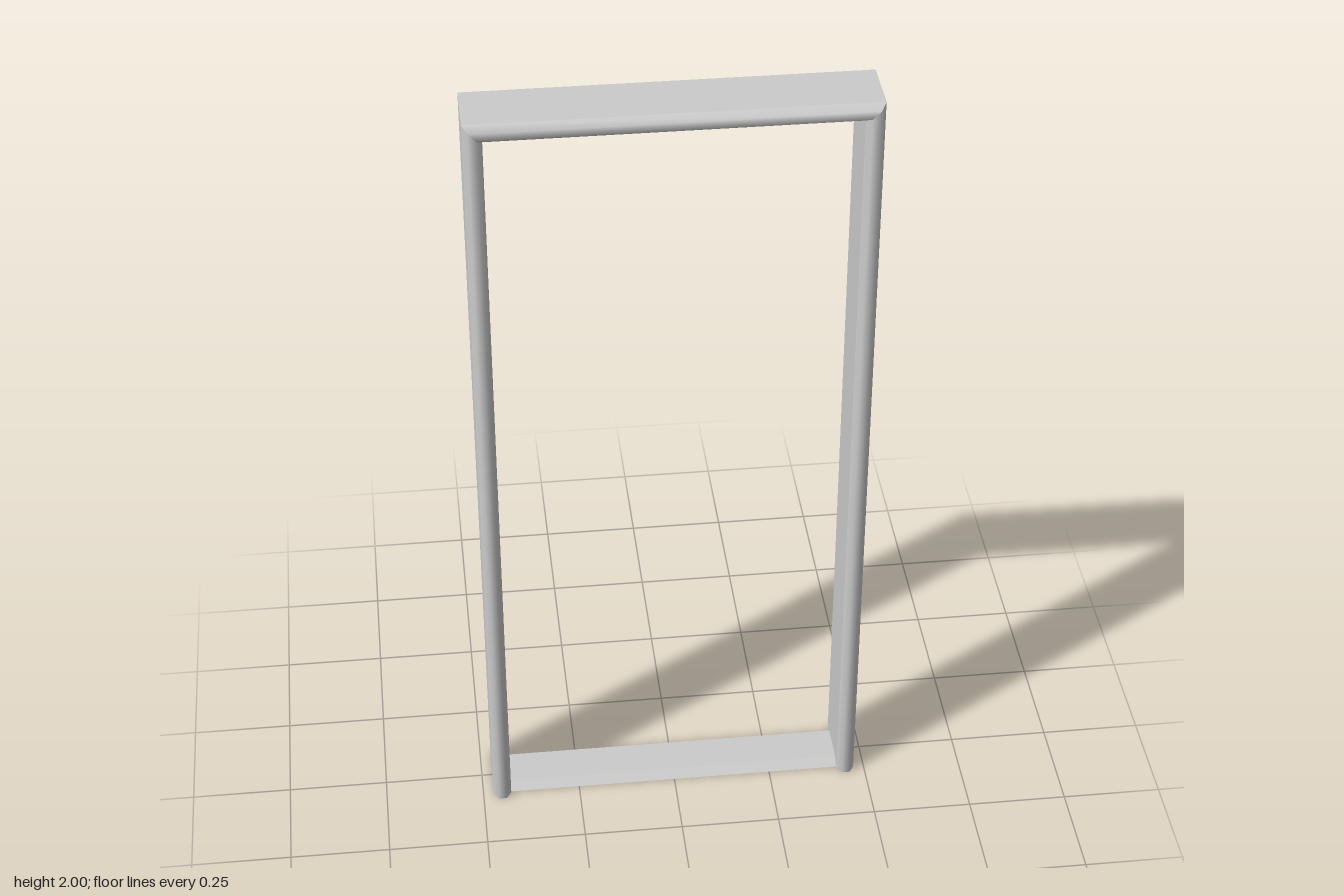
import * as THREE from 'three';

const W = 0.473, H = 2, D = 0.0935; // half width, height, half depth
const T = 0.045, CX = 0.0125, CZ = 0.02; // casing thickness and chamfer

const material = new THREE.MeshStandardMaterial({ color: 0xcccccc, side: THREE.DoubleSide });

// Sweeps a run of profile points between two ends; normals are smooth within the run.
function strip(points, start, end) {
  const positions = [], index = [];
  points.forEach(([o, z], i) => {
    positions.push(...start(o, z), ...end(o, z));
    if (i > 0) {
      const p = 2 * (i - 1), q = 2 * i;
      index.push(p, q, q + 1, p, q + 1, p + 1);
    }
  });
  const geometry = new THREE.BufferGeometry();
  geometry.setAttribute('position', new THREE.Float32BufferAttribute(positions, 3));
  geometry.setIndex(index);
  geometry.computeVertexNormals();
  return geometry;
}

function member(name, runs, start, end) {
  const group = new THREE.Group();
  group.name = name;
  for (const [label, points] of Object.entries(runs)) {
    const mesh = new THREE.Mesh(strip(points, start, end), material);
    mesh.name = name + label;
    group.add(mesh);
  }
  return group;
}

export function createModel() {
  const model = new THREE.Group();
  model.name = 'doorFrame';

  // Casing profile as [inset from the outer edge, z]: soft front and back, flat sides
  const front = [[0, D - CZ], [CX, D], [T - CX, D], [T, D - CZ]];
  const back = front.map(([o, z]) => [o, -z]).reverse();
  const casing = {
    Front: front,
    Inside: [front[3], back[0]],
    Back: back,
    Outside: [back[3], front[0]],
  };

  // Ends of the members: open feet and mitred top corners
  const rightFoot = (o, z) => [-W + o, 0, z];
  const rightCorner = (o, z) => [-W + o, H - o, z];
  const leftCorner = (o, z) => [W - o, H - o, z];
  const leftFoot = (o, z) => [W - o, 0, z];
  model.add(member('rightJamb', casing, rightFoot, rightCorner));
  model.add(member('header', casing, rightCorner, leftCorner));
  model.add(member('leftJamb', casing, leftCorner, leftFoot));

  // Low threshold with sloped edges, running slightly into both jambs; profile is [y, z]
  const sill = {
    BackSlope: [[0, -0.07], [0.02, -0.05]],
    Top: [[0.02, -0.05], [0.02, 0.05]],
    FrontSlope: [[0.02, 0.05], [0, 0.07]],
  };
  const reach = W - T + 0.015;
  model.add(member('threshold', sill, (y, z) => [-reach, y, z], (y, z) => [reach, y, z]));
  return model;
}
